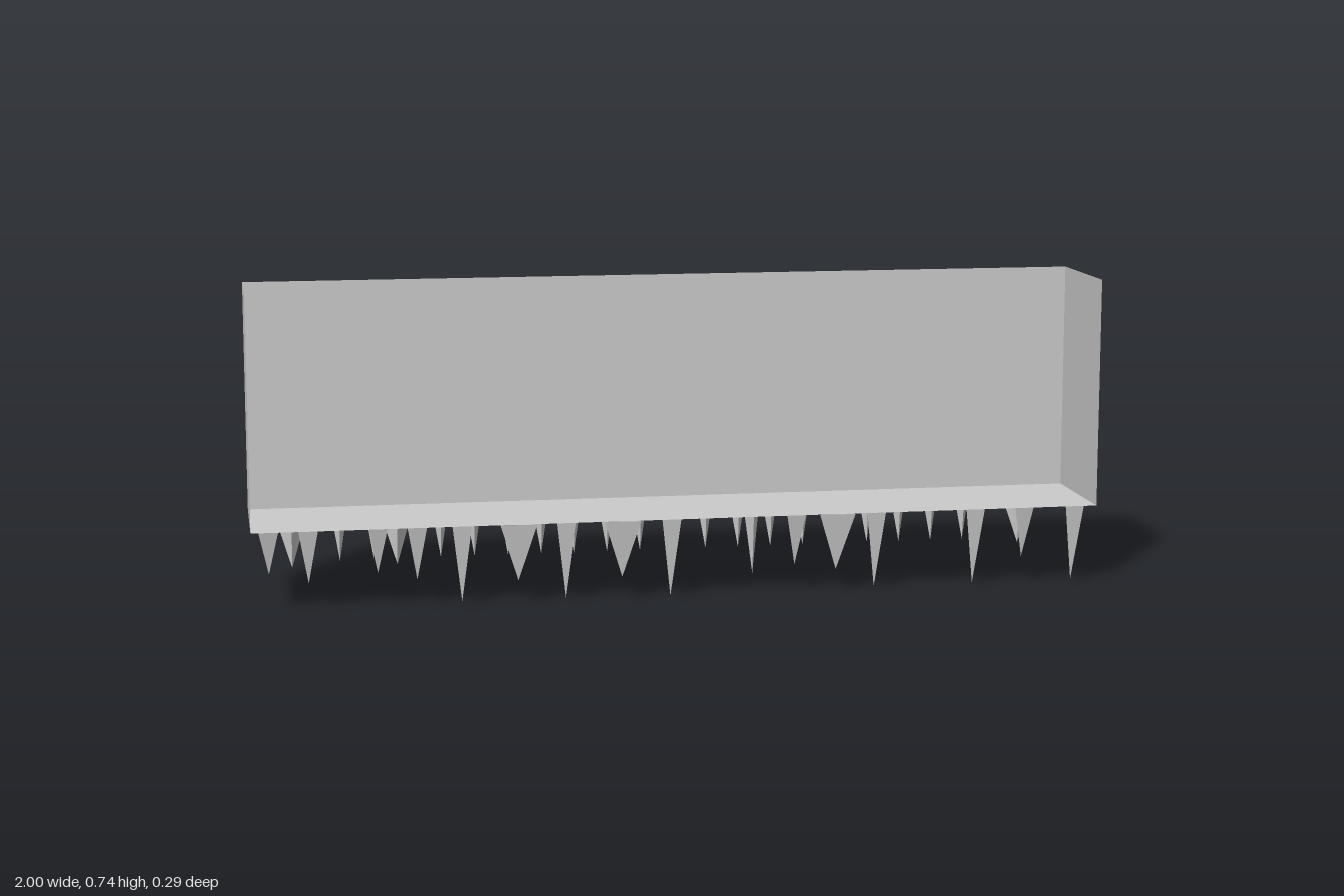
import * as THREE from 'three';

const FLOOR = 0.193, TOP = 0.735, BACK = -0.146, FRONT = 0.142;

const material = new THREE.MeshStandardMaterial({
  color: 0xcccccc, flatShading: true, side: THREE.DoubleSide,
});

// Three-sided hanging spike: flat side at z = outer, ridge at z = inner
function spikeGeometry(x, width, outer, inner, tipY, tipZ) {
  const a = [x - width / 2, FLOOR, outer];
  const b = [x + width / 2, FLOOR, outer];
  const c = [x, FLOOR, inner];
  const tip = [x, tipY, tipZ];
  const faces = [tip, b, a, tip, c, b, tip, a, c];
  if (outer < inner) faces.reverse();
  const geometry = new THREE.BufferGeometry();
  geometry.setAttribute('position', new THREE.Float32BufferAttribute(faces.flat(), 3));
  geometry.computeVertexNormals();
  return geometry;
}

export function createModel() {
  const model = new THREE.Group();
  const add = (parent, name, geometry) => {
    const mesh = new THREE.Mesh(geometry, material);
    mesh.name = name;
    parent.add(mesh);
    return mesh;
  };

  // Thin tray open at the front and top
  const height = TOP - FLOOR, depth = FRONT - BACK;
  const midY = (TOP + FLOOR) / 2, midZ = (FRONT + BACK) / 2;
  const back = add(model, 'backWall', new THREE.PlaneGeometry(2, height));
  back.position.set(0, midY, BACK);
  back.rotation.y = Math.PI;
  const floor = add(model, 'floor', new THREE.PlaneGeometry(2, depth));
  floor.position.set(0, FLOOR, midZ);
  floor.rotation.x = Math.PI / 2;
  for (const side of [-1, 1]) {
    const end = add(model, side > 0 ? 'leftWall' : 'rightWall', new THREE.PlaneGeometry(depth, height));
    end.position.set(side, midY, midZ);
    end.rotation.y = side * Math.PI / 2;
  }

  // Back row: evenly spaced spikes, one long one, and wide ones near the ends
  const backRow = new THREE.Group();
  backRow.name = 'backSpikes';
  model.add(backRow);
  for (let i = 0; i < 20; i++) {
    if (i === 17) continue;
    add(backRow, 'spike', spikeGeometry(0.743 - 0.0805 * i, 0.042, -0.138, -0.105, 0.066, -0.123));
  }
  add(backRow, 'spike', spikeGeometry(0.79, 0.042, -0.138, -0.105, 0.08, -0.123));
  add(backRow, 'longSpike', spikeGeometry(0.215, 0.045, -0.14, -0.095, 0, -0.12));
  for (const x of [-0.9, -0.65, 0.88]) {
    add(backRow, 'wideSpike', spikeGeometry(x, 0.085, -0.132, -0.087, 0.056, -0.107));
  }

  // Front row: irregular spikes as [x, tip height]
  const frontRow = new THREE.Group();
  frontRow.name = 'frontSpikes';
  model.add(frontRow);
  const narrow = [
    [-0.96, 0.09], [-0.87, 0.066], [-0.71, 0.085], [-0.62, 0.066], [-0.517, 0.01],
    [-0.275, 0.01], [-0.027, 0.005], [0.27, 0.07], [0.463, 0.01], [0.704, 0.01],
    [0.824, 0.07], [0.948, 0.01],
  ];
  for (const [x, tipY] of narrow) {
    add(frontRow, 'spike', spikeGeometry(x, 0.045, 0.137, 0.086, tipY, 0.114));
  }
  for (const x of [-0.387, -0.143, 0.367]) {
    add(frontRow, 'wideSpike', spikeGeometry(x, 0.085, 0.147, 0.1, 0.058, 0.127));
  }
  return model;
}
